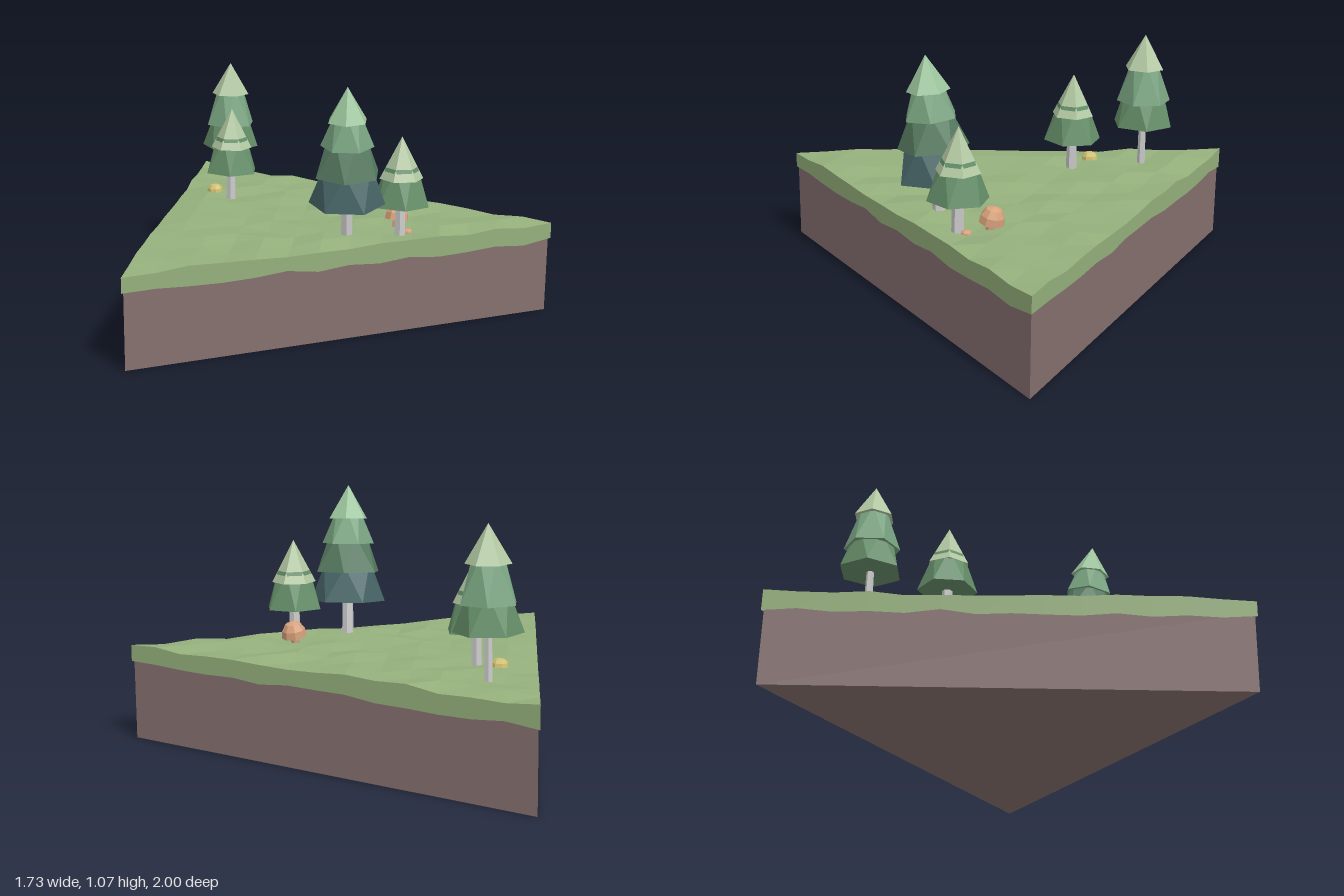
import * as THREE from 'three';

const mat = (color) => new THREE.MeshStandardMaterial({ color, flatShading: true, side: THREE.DoubleSide });
const MATS = {
  trunk: mat(0xcccccc), dirt: mat(0x86706f), grass: mat(0x95b07c),
  pale: mat(0xb4caa4), light: mat(0x9cc69c), mid: mat(0x7aa582),
  leaf: mat(0x66906a), dark: mat(0x587c62), deep: mat(0x486668),
  orange: mat(0xd8a27c), yellow: mat(0xcfc070), stem: mat(0xc9a085),
};

function add(parent, name, geometry, material, x = 0, y = 0, z = 0) {
  const mesh = new THREE.Mesh(geometry, material);
  mesh.name = name;
  mesh.position.set(x, y, z);
  parent.add(mesh);
  return mesh;
}

// Small repeatable noise in -1..1
function noise(a, b) {
  const s = Math.sin(a * 127.1 + b * 311.7) * 43758.5453;
  return 2 * (s - Math.floor(s)) - 1;
}

// Uneven triangular turf: a triangular grid on top and a ragged skirt around it
function grassGeometry() {
  const N = 14, pos = [], idx = [];
  const at = (i, j) => (i * (i + 1)) / 2 + j; // row i runs from the tip to the long side
  for (let i = 0; i <= N; i++) {
    for (let j = 0; j <= i; j++) {
      const t = i / N;
      pos.push(-0.866 + 1.732 * t, 0.405 + 0.011 * noise(i, j), i ? t * ((2 * j) / i - 1) : 0);
    }
  }
  for (let i = 0; i < N; i++) {
    for (let j = 0; j <= i; j++) {
      idx.push(at(i, j), at(i + 1, j + 1), at(i + 1, j));
      if (j < i) idx.push(at(i, j), at(i, j + 1), at(i + 1, j + 1));
    }
  }
  // Rim, walked once around
  const rim = [];
  for (let i = 0; i < N; i++) rim.push(at(i, i));
  for (let j = N; j > 0; j--) rim.push(at(N, j));
  for (let i = N; i > 0; i--) rim.push(at(i, 0));
  const start = pos.length / 3;
  rim.forEach((v, k) => pos.push(pos[v * 3], 0.326 + 0.011 * noise(k, 40), pos[v * 3 + 2]));
  rim.forEach((v, k) => {
    const n = (k + 1) % rim.length;
    idx.push(v, start + k, rim[n], rim[n], start + k, start + n);
  });
  const g = new THREE.BufferGeometry();
  g.setAttribute('position', new THREE.Float32BufferAttribute(pos, 3));
  g.setIndex(idx);
  g.computeVertexNormals();
  return g;
}

// Foliage tier: six-sided frustum whose top ring is turned by half a side
function tierGeometry(rTop, rBottom, height, turn) {
  const g = new THREE.CylinderGeometry(rTop, rBottom, height, 6);
  const p = g.attributes.position, v = new THREE.Vector3(), up = new THREE.Vector3(0, 1, 0);
  for (let i = 0; i < p.count; i++) {
    v.fromBufferAttribute(p, i);
    if (v.y > 0 && rTop > 0) v.applyAxisAngle(up, -Math.PI / 6);
    p.setXYZ(i, v.x, v.y, v.z);
  }
  return g.rotateY(turn);
}

// Tiers are [bottom, top, bottom radius, top radius, material], heights above the slab's foot
function makeTree(name, base, apex, trunkR, turn, tiers) {
  const tree = new THREE.Group();
  tree.name = name;
  tree.position.set(...base);
  const axis = new THREE.Vector3(...apex).sub(tree.position).normalize();
  tree.quaternion.setFromUnitVectors(new THREE.Vector3(0, 1, 0), axis);
  const trunkH = tiers[0][0] - base[1] + 0.06;
  add(tree, 'trunk', new THREE.CylinderGeometry(trunkR * 0.85, trunkR, trunkH, 6), MATS.trunk, 0, trunkH / 2, 0);
  tiers.forEach(([y0, y1, r0, r1, m], i) => {
    const g = tierGeometry(r1, r0, y1 - y0, turn + (i * Math.PI) / 6);
    add(tree, 'foliageTier', g, MATS[m], 0, (y0 + y1) / 2 - base[1], 0);
  });
  return tree;
}

// Mushroom: faceted dome cap with a flat underside on a short stem
function makeMushroom(name, x, y, z, r, h, stemH, tilt, m) {
  const g = new THREE.Group();
  g.name = name;
  g.position.set(x, y, z);
  g.rotation.z = tilt;
  add(g, 'stem', new THREE.CylinderGeometry(r * 0.3, r * 0.38, stemH + 0.01, 6), MATS.stem, 0, stemH / 2, 0);
  const profile = [[0, 0], [1, 0], [0.92, 0.45], [0.6, 0.85], [0, 1]];
  const cap = new THREE.LatheGeometry(profile.map(([a, b]) => new THREE.Vector2(a * r, b * h)), 8);
  add(g, 'cap', cap, MATS[m], 0, stemH, 0);
  return g;
}

export function createModel() {
  const model = new THREE.Group();
  model.name = 'forestTile';

  // Earth slab and turf
  const R = 1.1547 * 0.99;
  add(model, 'dirt', new THREE.CylinderGeometry(R, R, 0.345, 3).rotateY(-Math.PI / 2), MATS.dirt, 0.2887, 0.1725, 0);
  add(model, 'grass', grassGeometry(), MATS.grass);

  // Trees
  model.add(makeTree('tallLeaningTree', [0.14, 0.39, 0.39], [0.09, 1.065, 0.415], 0.028, Math.PI / 6, [
    [0.555, 0.71, 0.165, 0.115, 'deep'],
    [0.685, 0.84, 0.148, 0.085, 'dark'],
    [0.81, 0.96, 0.115, 0.055, 'mid'],
    [0.92, 1.068, 0.09, 0, 'light'],
  ]));
  model.add(makeTree('backTree', [0.615, 0.39, -0.635], [0.615, 1.002, -0.63], 0.018, Math.PI / 6, [
    [0.59, 0.75, 0.137, 0.085, 'leaf'],
    [0.7, 0.88, 0.12, 0.06, 'mid'],
    [0.85, 1.002, 0.09, 0, 'pale'],
  ]));
  const smallTiers = [
    [0.535, 0.7, 0.128, 0.07, 'leaf'],
    [0.65, 0.835, 0.095, 0, 'pale'],
  ];
  model.add(makeTree('smallFrontTree', [0.315, 0.39, 0.55], [0.318, 0.835, 0.548], 0.026, 0.2, smallTiers));
  model.add(makeTree('smallBackTree', [0.36, 0.39, -0.425], [0.364, 0.835, -0.422], 0.024, 0.1, smallTiers));

  // Mushrooms
  model.add(makeMushroom('orangeMushroom', 0.415, 0.395, 0.465, 0.054, 0.07, 0.035, -0.2, 'orange'));
  model.add(makeMushroom('yellowMushroom', 0.395, 0.395, -0.552, 0.038, 0.035, 0.015, 0.05, 'yellow'));
  model.add(makeMushroom('tinyMushroom', 0.36, 0.395, 0.56, 0.023, 0.014, 0.008, 0, 'orange'));
  return model;
}
